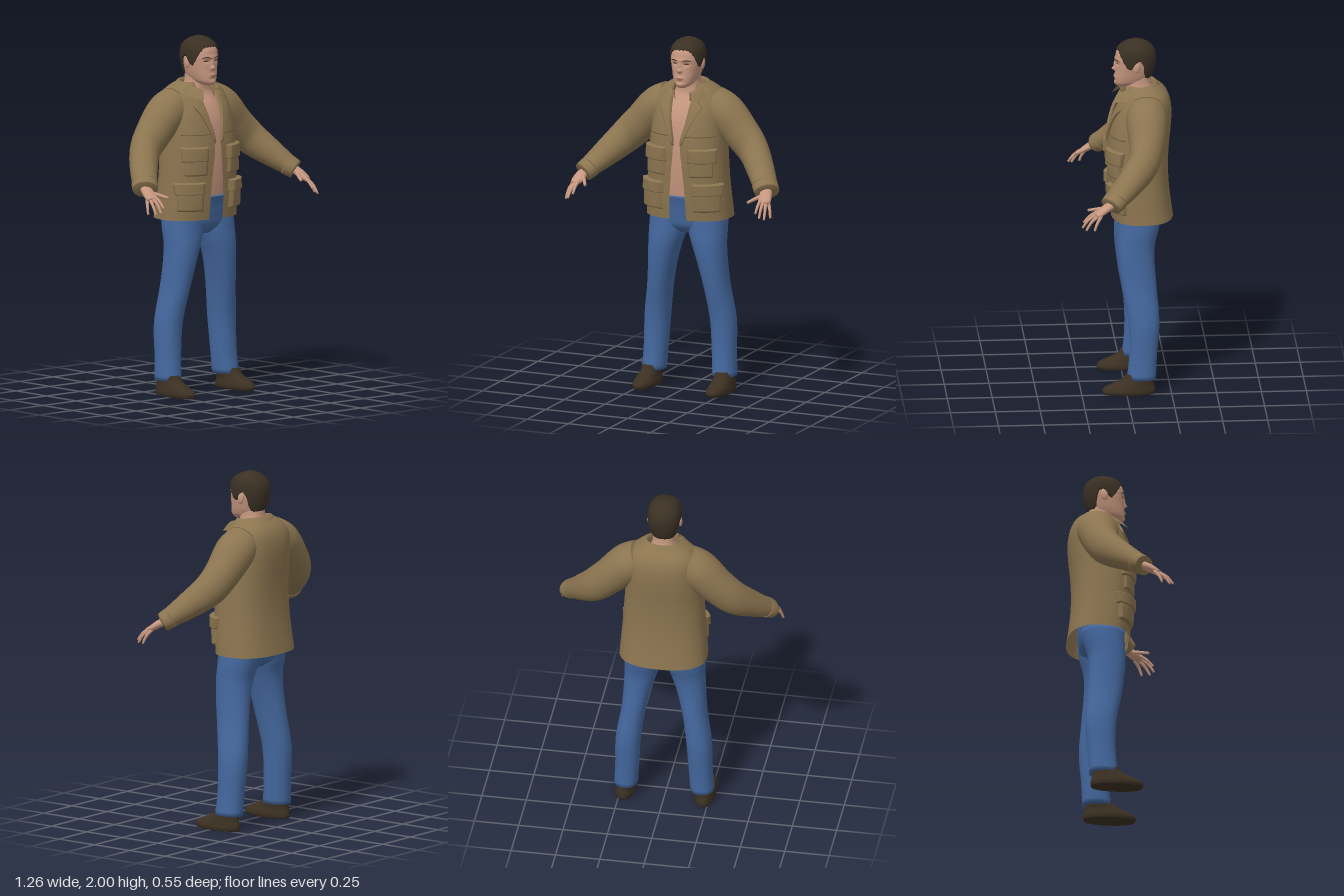
import * as THREE from 'three';
import { mergeVertices } from 'three/addons/utils/BufferGeometryUtils.js';

const mat = (name, color, side = THREE.FrontSide) => {
  const m = new THREE.MeshStandardMaterial({ color, side });
  m.name = name;
  return m;
};

// Smooth interpolation of rows [t, a, b, ...] with ascending t
function curve(rows) {
  const k = rows[0].length - 1;
  const it = new THREE.CubicInterpolant(rows.map(r => r[0]), rows.flatMap(r => r.slice(1)), k, new Float32Array(k));
  return t => Array.from(it.evaluate(t));
}

// Grid surface from fn(u, v) -> Vector3, with u, v in 0..1
function grid(fn, nu, nv) {
  const pos = [], idx = [];
  for (let j = 0; j <= nv; j++) for (let i = 0; i <= nu; i++) pos.push(...fn(i / nu, j / nv, j).toArray());
  for (let j = 0; j < nv; j++) for (let i = 0; i < nu; i++) {
    const a = j * (nu + 1) + i, b = a + 1, c = a + nu + 1, d = c + 1;
    idx.push(a, b, d, a, d, c);
  }
  const g = new THREE.BufferGeometry();
  g.setAttribute('position', new THREE.Float32BufferAttribute(pos, 3));
  g.setIndex(idx);
  const m = mergeVertices(g, 1e-5);
  m.computeVertexNormals();
  return m;
}

// Body surface from rows [y, centreX, halfWidth, zFront, zBack]; angle 0 is the front
function body(rows, p) {
  const at = curve(rows), pw = t => Math.sign(t) * Math.abs(t) ** p;
  const point = (a, y, off = 0) => {
    const [cx, w, zf, zb] = at(y);
    return new THREE.Vector3(cx + pw(Math.sin(a)) * (w + off), y,
      (zf + zb) / 2 + pw(Math.cos(a)) * ((zf - zb) / 2 + off));
  };
  const angle = (x, y) => Math.asin(Math.min(0.98, Math.max(0, x / at(y)[1])) ** (1 / p));
  return { at, point, angle, y0: rows[0][0], y1: rows[rows.length - 1][0] };
}

// Closed loft of a body surface with end caps
function loft(s, nu = 40, nv = 40, point = s.point) {
  return grid((u, v, j) => {
    const y = s.y0 + (s.y1 - s.y0) * Math.min(1, Math.max(0, (j - 1) / (nv - 2)));
    if (j === 0 || j === nv) {
      const [cx, , zf, zb] = s.at(y);
      return new THREE.Vector3(cx, y, (zf + zb) / 2);
    }
    return point((u % 1) * Math.PI * 2, y);
  }, nu, nv);
}

// Capped limb through sections [x, y, z, horizontal radius, other radius]
function limb(sections, nu = 12, nv = 14) {
  const path = new THREE.CatmullRomCurve3(sections.map(s => new THREE.Vector3(...s.slice(0, 3))));
  const radii = curve(sections.map((s, i) => [i / (sections.length - 1), s[3], s[4] ?? s[3]]));
  return grid((u, v, j) => {
    const t = Math.min(1, Math.max(0, (j - 1) / (nv - 2)));
    const c = path.getPoint(t), dir = path.getTangent(t);
    if (j === 0 || j === nv) return c;
    const side = new THREE.Vector3(0, 1, 0).cross(dir).normalize(), up = dir.clone().cross(side);
    const [ru, rv] = radii(t), a = (u % 1) * Math.PI * 2;
    return c.addScaledVector(side, Math.cos(a) * ru).addScaledVector(up, Math.sin(a) * rv);
  }, nu, nv);
}

function mirrored(geo) {
  const g = geo.clone(), id = g.index.array;
  g.scale(-1, 1, 1);
  for (let i = 0; i < id.length; i += 3) [id[i], id[i + 1]] = [id[i + 1], id[i]];
  g.computeVertexNormals();
  return g;
}

export function createModel() {
  const model = new THREE.Group();
  model.name = 'man';
  const skin = mat('skin', 0xc6977f), hairMat = mat('hair', 0x3a3023, THREE.DoubleSide),
    cloth = mat('jacketCloth', 0x8c7550, THREE.DoubleSide), denim = mat('denim', 0x44689f),
    leather = mat('shoeLeather', 0x3b3022), lipMat = mat('lips', 0xa87262, THREE.DoubleSide),
    eyeMat = mat('eyes', 0x4a382e, THREE.DoubleSide), seamMat = mat('jacketSeam', 0x6b5839, THREE.DoubleSide);
  const add = (name, geo, m) => {
    const mesh = new THREE.Mesh(geo, m);
    mesh.name = name;
    model.add(mesh);
  };
  const pair = (name, geo, m) => {
    add(name + 'Left', geo, m);
    add(name + 'Right', mirrored(geo), m);
  };

  // Head with a sculpted face
  const head = body([[1.732, 0, 0.026, 0.04, -0.03], [1.75, 0, 0.05, 0.05, -0.1], [1.78, 0, 0.066, 0.051, -0.14],
    [1.82, 0, 0.077, 0.048, -0.16], [1.86, 0, 0.085, 0.047, -0.17], [1.9, 0, 0.087, 0.047, -0.173],
    [1.94, 0, 0.081, 0.036, -0.163], [1.967, 0, 0.064, 0.012, -0.14], [1.985, 0, 0.038, -0.025, -0.107],
    [1.993, 0, 0.012, -0.055, -0.08]], 0.87);
  const bumps = [[0, 1.831, 0.012, 0.011, 0.019], [0, 1.858, 0.009, 0.02, 0.01], [0.034, 1.867, 0.015, 0.01, -0.008],
    [-0.034, 1.867, 0.015, 0.01, -0.008], [0, 1.89, 0.05, 0.009, 0.004], [0, 1.787, 0.02, 0.01, 0.006],
    [0, 1.768, 0.02, 0.005, -0.004], [0, 1.748, 0.018, 0.01, 0.005]];
  const face = (a, y, off = 0) => {
    const q = head.point(a, y, off);
    if (Math.cos(a) > 0) for (const [x, by, sx, sy, h] of bumps)
      q.z += h * Math.exp(-(((q.x - x) / sx) ** 2) - ((y - by) / sy) ** 2);
    return q;
  };
  add('head', loft(head, 120, 70, face), skin);
  const ear = new THREE.SphereGeometry(1, 16, 12).scale(0.011, 0.032, 0.02).rotateX(-0.15).translate(0.088, 1.858, -0.068);
  pair('ear', ear, skin);

  // Brows, eyes and lips as thin patches on the face
  const facePatch = (x0, x1, low, high) => grid((u, v) => {
    const x = x0 + (x1 - x0) * u, y = low(u) + (high(u) - low(u)) * v;
    return face(Math.sign(x) * head.angle(Math.abs(x), y), y, 0.0015);
  }, 12, 4);
  const arch = u => Math.sin(Math.PI * u);
  pair('brow', facePatch(0.014, 0.06, u => 1.884 + 0.004 * arch(u), u => 1.887 + 0.007 * arch(u)), hairMat);
  pair('eye', facePatch(0.02, 0.05, u => 1.868 - 0.003 * arch(u), u => 1.868 + 0.004 * arch(u)), eyeMat);
  add('lips', facePatch(-0.026, 0.026, u => 1.787 - 0.008 * arch(u), u => 1.787 + 0.006 * arch(u)), lipMat);

  // Short hair rising from a curved, slightly ragged hairline
  const hairline = curve([[0, 1.947], [0.5, 1.942], [0.85, 1.912], [1.1, 1.872], [1.3, 1.847], [1.45, 1.852],
    [1.6, 1.89], [1.85, 1.88], [2.1, 1.81], [2.6, 1.778], [3.15, 1.768]]);
  add('hair', grid((u, v, j) => {
    const a = (u % 1) * Math.PI * 2, low = hairline(Math.min(a, 2 * Math.PI - a))[0] + 0.003 * Math.sin(a * 30);
    if (j === 30) return new THREE.Vector3(0, 2, -0.067);
    const t = Math.max(0, (j - 1) / 28), y = low + (1.993 - low) * (1 - (1 - t) ** 2);
    const q = head.point(a, y, j ? 0.007 : -0.008);
    q.y += 0.007 * t;
    return q;
  }, 120, 30), hairMat);

  // Bare chest and neck
  add('torso', loft(body([[1.06, 0, 0.18, 0.04, -0.18], [1.2, 0, 0.19, 0.056, -0.2], [1.4, 0, 0.185, 0.062, -0.21],
    [1.55, 0, 0.17, 0.048, -0.22], [1.63, 0, 0.13, 0.018, -0.21], [1.69, 0, 0.085, -0.014, -0.18],
    [1.74, 0, 0.064, -0.014, -0.155], [1.8, 0, 0.062, -0.01, -0.15]], 0.85)), skin);

  // Jeans: hips and two legs
  add('jeansHips', loft(body([[0.895, 0, 0.09, -0.01, -0.13], [0.93, 0, 0.18, 0.026, -0.18], [1.0, 0, 0.222, 0.044, -0.207],
    [1.06, 0, 0.215, 0.054, -0.21], [1.112, 0, 0.205, 0.068, -0.205]], 0.85)), denim);
  pair('jeansLeg', loft(body([[0.085, 0.215, 0.066, -0.003, -0.165], [0.2, 0.208, 0.066, -0.015, -0.17],
    [0.4, 0.199, 0.07, -0.013, -0.185], [0.6, 0.17, 0.069, 0.02, -0.172], [0.75, 0.147, 0.082, 0.04, -0.162],
    [0.85, 0.129, 0.097, 0.046, -0.166], [0.92, 0.118, 0.108, 0.042, -0.185], [1.0, 0.114, 0.108, 0.038, -0.2]], 0.9)), denim);

  // Shoes
  pair('shoe', loft(body([[0, 0.224, 0.055, 0.128, -0.156], [0.015, 0.224, 0.06, 0.136, -0.16], [0.035, 0.224, 0.058, 0.126, -0.158],
    [0.055, 0.224, 0.053, 0.085, -0.152], [0.08, 0.222, 0.05, 0.03, -0.148], [0.115, 0.22, 0.047, 0, -0.145]], 0.9), 40, 20), leather);

  // Jacket shell, open down the front
  const jacket = body([[0.985, 0, 0.246, 0.075, -0.272], [1.1, 0, 0.238, 0.086, -0.256], [1.2, 0, 0.23, 0.09, -0.247],
    [1.3, 0, 0.224, 0.094, -0.245], [1.4, 0, 0.217, 0.094, -0.25], [1.5, 0, 0.21, 0.08, -0.26], [1.6, 0, 0.202, 0.052, -0.264],
    [1.66, 0, 0.192, 0.022, -0.254], [1.7, 0, 0.17, 0, -0.235], [1.73, 0, 0.13, -0.012, -0.205], [1.748, 0, 0.1, -0.015, -0.18]], 0.8);
  const opening = curve([[0.985, 0.05], [1.1, 0.047], [1.25, 0.036], [1.4, 0.022], [1.45, 0.026], [1.55, 0.047], [1.7, 0.064], [1.75, 0.068]]);
  add('jacketBody', grid((u, v) => {
    const y = jacket.y0 + (jacket.y1 - jacket.y0) * v, a = jacket.angle(opening(y)[0], y);
    return jacket.point(a + (2 * Math.PI - 2 * a) * u, y);
  }, 64, 50), cloth);

  // Padded patches on the jacket front, with edges tucked into the cloth
  const panel = (inner, outer, y0, y1, off) => grid((u, v) => {
    const y = y0 + (y1 - y0) * v, a0 = jacket.angle(inner(y), y), a1 = jacket.angle(outer(y), y);
    const edge = u === 0 || u === 1 || v === 0 || v === 1;
    return jacket.point(a0 + (a1 - a0) * u, y, edge ? -0.003 : off);
  }, 16, 16);
  const flat = x => () => x;
  pair('chestPocket', panel(flat(0.07), flat(0.195), 1.235, 1.34, 0.012), cloth);
  pair('chestPocketFlap', panel(flat(0.063), flat(0.203), 1.315, 1.4, 0.02), cloth);
  pair('hipPocket', panel(flat(0.09), flat(0.222), 1.035, 1.16, 0.018), cloth);
  pair('hipPocketFlap', panel(flat(0.083), flat(0.226), 1.13, 1.2, 0.026), cloth);
  pair('chestSeam', panel(flat(0.03), flat(0.2), 1.462, 1.467, 0.002), seamMat);

  // Lapels and the folded collar
  const lapelEdge = curve([[1.41, 0.028], [1.5, 0.062], [1.58, 0.098], [1.635, 0.122], [1.65, 0.1], [1.7, 0.09]]);
  pair('lapel', panel(y => opening(y)[0] - 0.004, y => lapelEdge(y)[0], 1.41, 1.7, 0.012), cloth);
  const fold = curve([[0, 1.70, 0.08], [0.3, 1.745, 0.088], [0.5, 1.758, 0.1], [0.7, 1.745, 0.118], [1, 1.705, 0.15]]);
  add('collar', grid((u, v) => {
    const a = 0.55 + (2 * Math.PI - 1.1) * u, [y, r] = fold(1 - v), front = (1 + Math.cos(a)) / 2;
    return new THREE.Vector3(Math.sin(a) * r, y - 0.055 * front ** 2, -0.085 + Math.cos(a) * (r * 0.9 + 0.045 * front));
  }, 48, 12), cloth);

  // Sleeves and cuffs
  pair('sleeve', limb([[0.12, 1.625, -0.12, 0.105, 0.105], [0.2, 1.578, -0.115, 0.115, 0.112], [0.3, 1.478, -0.108, 0.1, 0.103],
    [0.385, 1.393, -0.083, 0.086, 0.095], [0.47, 1.305, 0.0, 0.078, 0.076], [0.556, 1.214, 0.106, 0.067, 0.05]], 32, 40), cloth);
  pair('cuff', limb([[0.53, 1.24, 0.074, 0.073, 0.058], [0.545, 1.225, 0.092, 0.073, 0.057], [0.561, 1.209, 0.112, 0.07, 0.053]], 32, 8), cloth);

  // Hands with spread fingers
  pair('palm', limb([[0.55, 1.22, 0.095, 0.03, 0.024], [0.564, 1.195, 0.14, 0.035, 0.022], [0.572, 1.175, 0.17, 0.036, 0.019],
    [0.58, 1.16, 0.193, 0.026, 0.014]], 20, 16), skin);
  const fingers = {
    thumb: [[0.55, 1.195, 0.14], [0.518, 1.18, 0.19], [0.496, 1.168, 0.232]],
    index: [[0.555, 1.18, 0.18], [0.556, 1.155, 0.225], [0.557, 1.118, 0.262]],
    middle: [[0.57, 1.172, 0.18], [0.578, 1.138, 0.235], [0.583, 1.094, 0.27]],
    ring: [[0.583, 1.166, 0.175], [0.597, 1.13, 0.22], [0.604, 1.084, 0.25]],
    little: [[0.594, 1.164, 0.165], [0.613, 1.125, 0.19], [0.622, 1.086, 0.205]],
  };
  for (const [name, pts] of Object.entries(fingers)) {
    const r = name === 'thumb' ? 0.012 : 0.0105;
    pair(name + 'Finger', limb(pts.map((q, i) => [...q, r - 0.002 * i]), 10, 12), skin);
  }
  return model;
}
